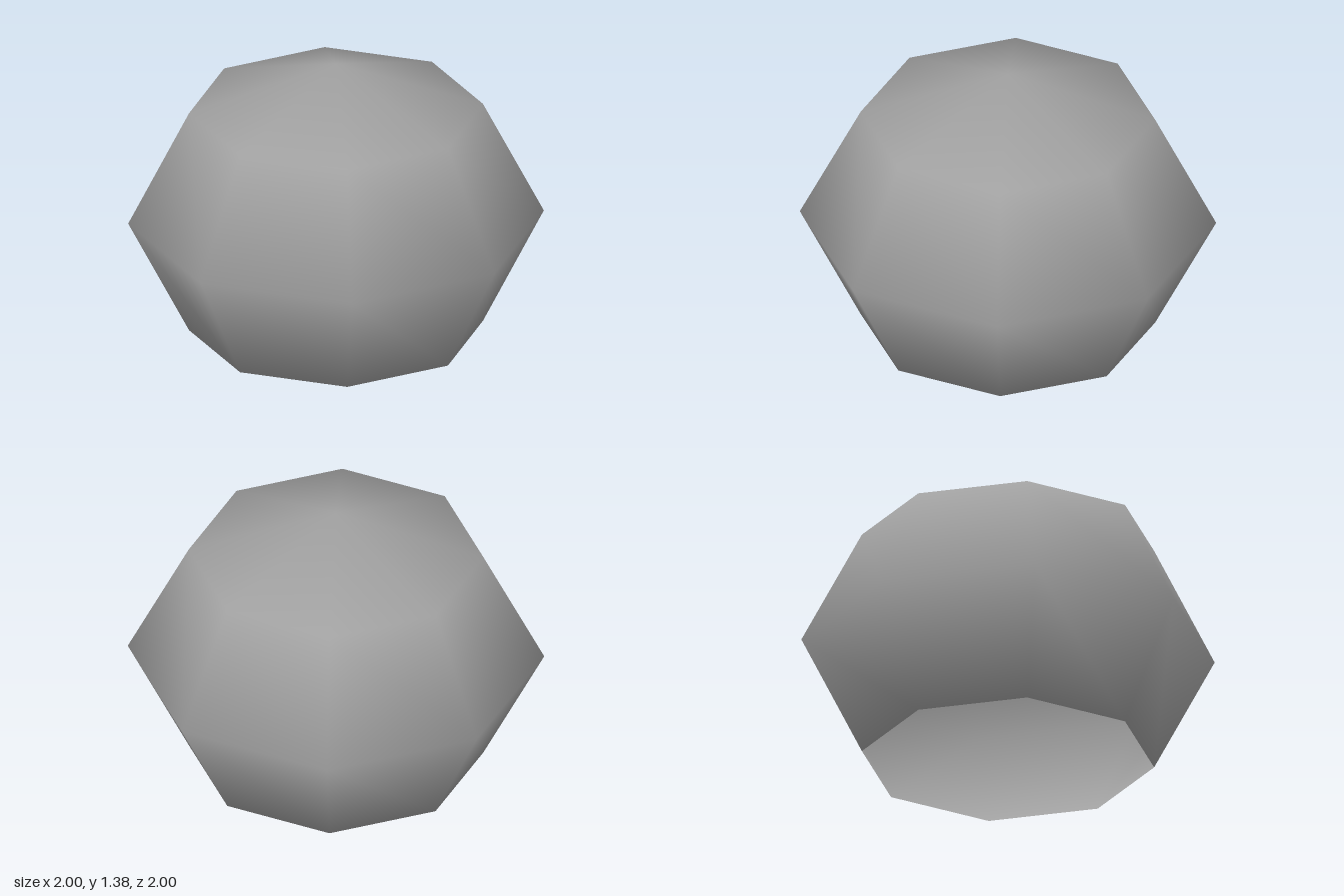
import * as THREE from 'three';

export function createModel() {
  const group = new THREE.Group();
  group.name = 'dome';

  const grey = new THREE.MeshStandardMaterial({ color: 0xa0a0a0, side: THREE.DoubleSide });
  grey.name = 'grey';

  // Eight-sided squashed sphere with smooth normals, lowest quarter left open
  const sides = 8, rings = 3, halfHeight = 0.81;
  const geometry = new THREE.SphereGeometry(1, sides, rings, 0, Math.PI * 2, 0, Math.PI * 0.75);
  geometry.scale(1, halfHeight, 1);
  geometry.translate(0, halfHeight * Math.SQRT1_2, 0); // open rim rests on y = 0

  const shell = new THREE.Mesh(geometry, grey);
  shell.name = 'domeShell';
  group.add(shell);
  return group;
}
